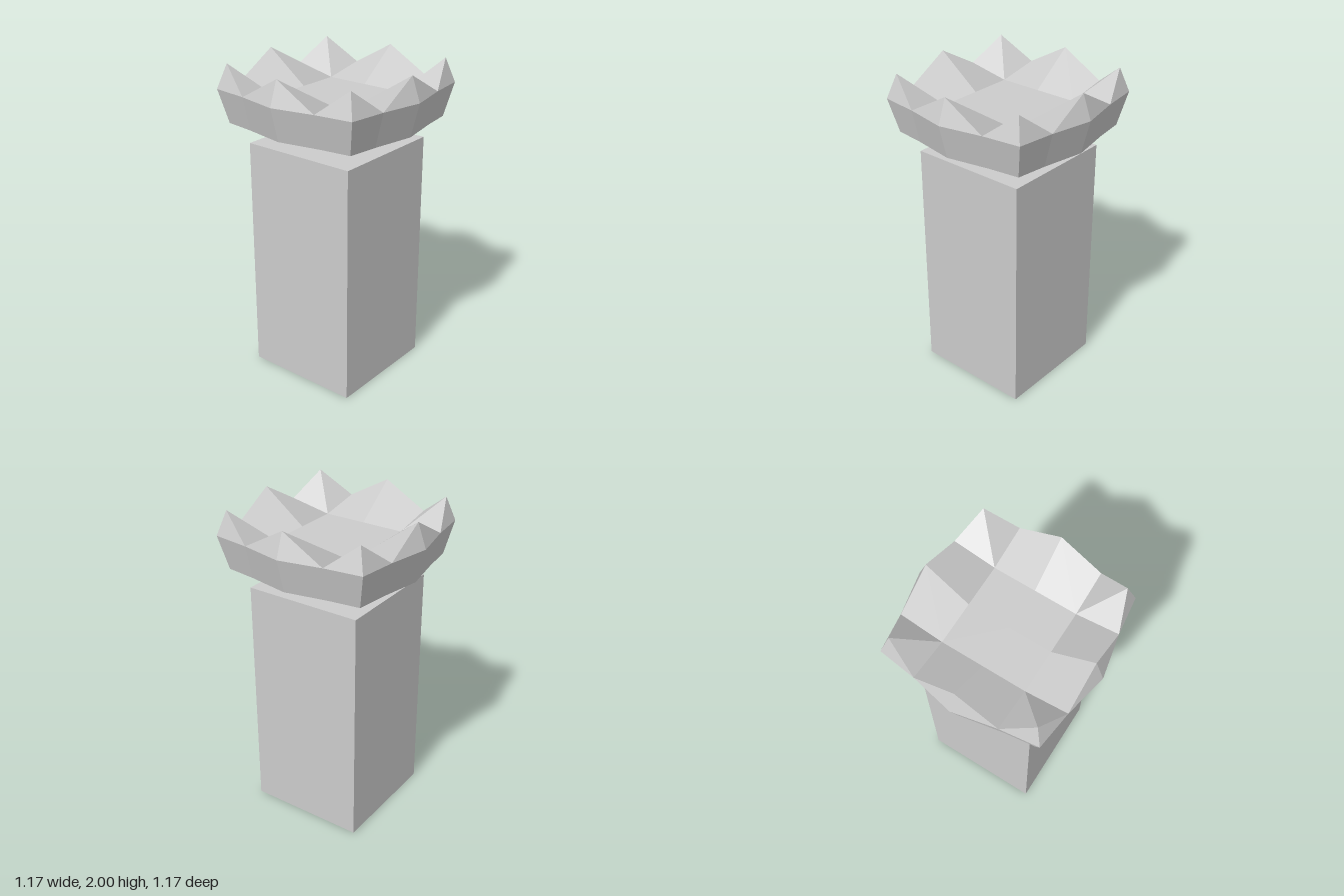
import * as THREE from 'three';

// Flat-faced geometry from polygons; each polygon keeps a single face normal
function facetGeometry(polygons) {
  const pos = [], nor = [];
  for (const p of polygons) {
    const last = p[p.length - 1];
    const n = p[2].clone().sub(p[0]).cross(last.clone().sub(p[1])).normalize();
    if (p.length === 3) n.copy(p[1]).sub(p[0]).cross(p[2].clone().sub(p[0])).normalize();
    for (let i = 1; i < p.length - 1; i++) {
      for (const v of [p[0], p[i], p[i + 1]]) {
        pos.push(v.x, v.y, v.z);
        nor.push(n.x, n.y, n.z);
      }
    }
  }
  const g = new THREE.BufferGeometry();
  g.setAttribute('position', new THREE.Float32BufferAttribute(pos, 3));
  g.setAttribute('normal', new THREE.Float32BufferAttribute(nor, 3));
  return g;
}

// Shallow crown-like bowl: one half side, mirrored and turned four times
function crownGeometry() {
  const v = (x, y, z) => new THREE.Vector3(x, y, z);
  const low = 1.64, rim = 1.85, tip = 2, floor = 1.8;
  const baseMid = v(0, low, 0.53), baseQuarter = v(0.265, low, 0.48), baseCorner = v(0.455, low, 0.455);
  const rimMid = v(0, rim, 0.585), valley = v(0.265, rim, 0.53), rimCorner = v(0.5, rim, 0.5);
  const tipMid = v(0, tip, 0.53), tipCorner = v(0.455, tip, 0.455);
  const floorMid = v(0, floor, 0.265), floorCorner = v(0.265, floor, 0.265);
  const floorCentre = v(0, floor, 0), baseCentre = v(0, low, 0);

  const half = [
    // outer wall
    [baseMid, baseQuarter, valley, rimMid],
    [baseQuarter, baseCorner, rimCorner, valley],
    // outer faces of the points
    [rimMid, valley, tipMid],
    [valley, rimCorner, tipCorner],
    // inner slopes
    [tipMid, valley, floorCorner, floorMid],
    [valley, tipCorner, floorCorner],
    // floor and underside
    [floorMid, floorCorner, floorCentre],
    [baseCentre, baseQuarter, baseMid],
    [baseCentre, baseCorner, baseQuarter],
  ];

  const polygons = [];
  const up = v(0, 1, 0);
  for (let side = 0; side < 4; side++) {
    const turn = (p) => p.clone().applyAxisAngle(up, side * Math.PI / 2);
    const mirror = (p) => turn(v(-p.x, p.y, p.z));
    for (const poly of half) {
      polygons.push(poly.map(turn));
      // reversed order, still starting at the same corner so the split matches
      polygons.push([poly[0], ...poly.slice(1).reverse()].map(mirror));
    }
  }
  return facetGeometry(polygons);
}

export function createModel() {
  const group = new THREE.Group();
  const material = new THREE.MeshStandardMaterial({ color: 0xcccccc });

  // Square pillar
  const pillar = new THREE.Mesh(new THREE.BoxGeometry(0.75, 1.51, 0.75), material);
  pillar.name = 'pillar';
  pillar.position.y = 0.755;
  group.add(pillar);

  // Crown floating above the pillar
  const crown = new THREE.Mesh(crownGeometry(), material);
  crown.name = 'crown';
  group.add(crown);

  return group;
}
